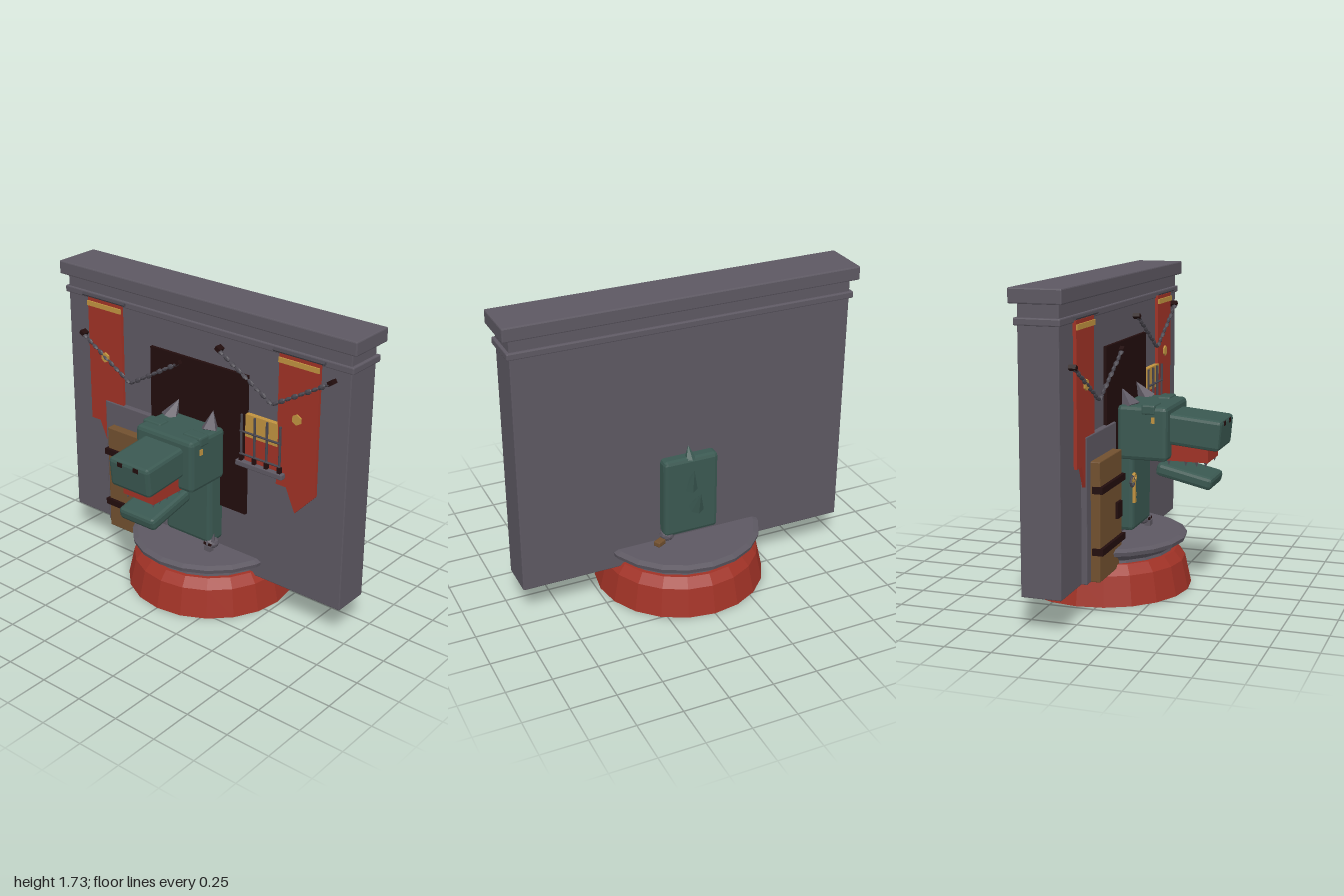
import * as THREE from 'three';
import { RoundedBoxGeometry } from 'three/addons/geometries/RoundedBoxGeometry.js';

const mat = (name, color) => {
  const m = new THREE.MeshStandardMaterial({ color, flatShading: true });
  m.name = name;
  return m;
};

export function createModel() {
  const stone = mat('stone', 0x5d5862);
  const iron = mat('iron', 0x49464e);
  const red = mat('red', 0xa03226);
  const teal = mat('teal', 0x3a5851);
  const wood = mat('wood', 0x71502f);
  const dark = mat('dark', 0x220d0d);
  const gold = mat('gold', 0xc0923f);

  const model = new THREE.Group();
  const add = (name, geo, material, x = 0, y = 0, z = 0, parent = model) => {
    const m = new THREE.Mesh(geo, material);
    m.name = name;
    m.position.set(x, y, z);
    parent.add(m);
    return m;
  };
  // Box given by its extents, with an optional chamfer
  const box = (name, material, [x0, x1], [y0, y1], [z0, z1], bevel = 0, parent = model) => {
    const s = [x1 - x0, y1 - y0, z1 - z0];
    const geo = bevel ? new RoundedBoxGeometry(...s, 1, bevel) : new THREE.BoxGeometry(...s);
    return add(name, geo, material, (x0 + x1) / 2, (y0 + y1) / 2, (z0 + z1) / 2, parent);
  };
  // Cone from base centre to tip
  const spike = (name, material, base, tip, r, sides = 6, parent = model) => {
    const a = new THREE.Vector3(...base), b = new THREE.Vector3(...tip);
    const d = b.clone().sub(a);
    const m = add(name, new THREE.ConeGeometry(r, d.length(), sides), material, 0, 0, 0, parent);
    m.position.copy(a).addScaledVector(d, 0.5);
    m.quaternion.setFromUnitVectors(new THREE.Vector3(0, 1, 0), d.normalize());
    return m;
  };
  const lathe = (pts) => new THREE.LatheGeometry(pts.map(p => new THREE.Vector2(...p)), 20);

  // Round pedestal: hollow red drum and stone plate
  add('pedestalDrum', lathe([[0.42, 0], [0.48, 0], [0.445, 0.16], [0.4, 0.21], [0.3, 0.21],
    [0.33, 0.12], [0.37, 0.08], [0.39, 0.04], [0.42, 0]]), red, 0, 0, -0.108);
  add('pedestalPlate', lathe([[0, 0.2], [0.38, 0.2], [0.375, 0.225], [0.4, 0.25], [0.45, 0.268],
    [0.455, 0.29], [0.425, 0.303], [0, 0.303]]), stone, 0, 0, -0.108);

  // Wall with trim and cornice
  box('wall', stone, [-0.96, 0.96], [0.19, 1.66], [-0.215, 0], 0.005);
  box('wallTrim', stone, [-0.977, 0.977], [1.547, 1.585], [-0.23, 0.012], 0.006);
  box('cornice', stone, [-1, 1], [1.653, 1.73], [-0.247, 0.03], 0.007);
  box('darkRecess', dark, [-0.335, 0.335], [0.56, 1.375], [0, 0.018]);

  // Door
  const door = new THREE.Group();
  door.name = 'door';
  model.add(door);
  box('doorFrame', stone, [-0.675, -0.22], [0.19, 0.96], [-0.02, 0.03], 0.005, door);
  box('doorPanel', wood, [-0.617, -0.275], [0.19, 0.825], [0.02, 0.08], 0.005, door);
  for (const y of [0.335, 0.66]) box('doorBand', dark, [-0.628, -0.27], [y, y + 0.036], [0.04, 0.098], 0, door);
  box('doorLock', dark, [-0.377, -0.31], [0.47, 0.558], [0.06, 0.095], 0, door);

  // Pointed banners with stripe, badge and rod
  const cloth = new THREE.Shape([[-0.125, 1.56], [-0.125, 0.82], [-0.06, 0.82], [0, 0.685], [0.125, 0.82], [0.125, 1.56]]
    .map(p => new THREE.Vector2(...p)));
  for (const x of [-0.667, 0.665]) {
    const banner = new THREE.Group();
    banner.name = 'banner';
    banner.position.x = x;
    model.add(banner);
    add('bannerCloth', new THREE.ExtrudeGeometry(cloth, { depth: 0.018, bevelEnabled: false }), red, 0, 0, 0.006, banner);
    box('bannerStripe', gold, [-0.125, 0.125], [1.512, 1.54], [0.023, 0.032], 0, banner);
    const badge = add('bannerBadge', new THREE.CylinderGeometry(0.03, 0.03, 0.012, 6), gold, 0, 1.227, 0.028, banner);
    badge.rotation.x = Math.PI / 2;
    const rod = add('bannerRod', new THREE.CylinderGeometry(0.01, 0.01, 0.315, 6), iron, 0, 1.573, 0.028, banner);
    rod.rotation.z = Math.PI / 2;
  }

  // Chains sagging in a V between dark hooks
  const chain = (xMid, yMid) => {
    const g = new THREE.Group();
    g.name = 'chain';
    model.add(g);
    const link = new THREE.OctahedronGeometry(0.03, 1);
    for (const side of [-1, 1]) {
      const angle = Math.atan2(0.215, side * 0.36);
      for (let i = 0; i < 9; i++) {
        const t = (i + 0.5) / 9;
        const m = add('chainLink', link, iron, xMid + side * 0.36 * t, yMid + 0.215 * t, 0.03, g);
        m.rotation.set(i % 2 ? 0 : Math.PI / 2, 0, angle, 'ZYX');
        m.scale.set(0.88, 0.5, 0.36);
      }
      const hook = box('chainHook', dark, [-0.016, 0.016], [-0.011, 0.011], [-0.02, 0.02], 0, g);
      hook.position.set(xMid + side * 0.355, yMid + 0.217, 0.022);
      hook.rotation.z = angle;
    }
  };
  chain(-0.48, 1.118);
  chain(0.507, 1.267);

  // Barred window
  const win = new THREE.Group();
  win.name = 'window';
  model.add(win);
  box('windowUpperPane', gold, [0.335, 0.545], [1.037, 1.165], [0, 0.028], 0, win);
  box('windowLowerPane', red, [0.335, 0.545], [0.895, 1.037], [0, 0.028], 0, win);
  box('windowSill', stone, [0.29, 0.597], [0.865, 0.897], [-0.01, 0.055], 0.005, win);
  for (const x of [0.318, 0.405, 0.485, 0.57]) {
    add('windowBar', new THREE.CylinderGeometry(0.007, 0.007, 0.265, 6), iron, x, 1.03, 0.038, win);
    box('barFoot', dark, [x - 0.01, x + 0.01], [0.895, 0.93], [0.028, 0.048], 0, win);
  }
  for (const y of [0.935, 1.067]) {
    const bar = add('windowCrossBar', new THREE.CylinderGeometry(0.006, 0.006, 0.265, 6), iron, 0.443, y, 0.04, win);
    bar.rotation.z = Math.PI / 2;
  }

  // Beast: body through the wall, head, snout and open jaw
  const beast = new THREE.Group();
  beast.name = 'beast';
  model.add(beast);
  box('body', teal, [-0.16, 0.16], [0.345, 0.81], [-0.28, 0.105], 0.022, beast);
  box('head', teal, [-0.197, 0.197], [0.75, 1.045], [0.025, 0.303], 0.022, beast);
  const snout = box('snout', teal, [-0.137, 0.137], [0.823, 0.99], [0.27, 0.578], 0.02, beast);
  snout.rotation.x = 0.09;
  box('mouth', red, [-0.105, 0.105], [0.742, 0.85], [0.27, 0.505], 0, beast);
  const jaw = box('lowerJaw', teal, [-0.123, 0.123], [0.625, 0.695], [0.217, 0.533], 0.02, beast);
  jaw.rotation.x = 0.22;
  for (const s of [-1, 1]) {
    box('brow', teal, [s * 0.14 - 0.062, s * 0.14 + 0.062], [1.0, 1.055], [0.162, 0.238], 0.01, beast);
    box('nostril', dark, [s * 0.055 - 0.017, s * 0.055 + 0.017], [0.943, 0.966], [0.56, 0.585], 0, beast);
    box('eye', gold, [s * 0.197 - 0.005, s * 0.197 + 0.005], [0.957, 0.99], [0.217, 0.237], 0, beast);
    spike('ear', stone, [s * 0.14, 1.03, 0.085], [s * 0.12, 1.125, 0.03], 0.055, 5, beast);
    for (const z of [0.285, 0.38, 0.44, 0.49]) spike('tooth', stone, [s * 0.09, 0.75, z], [s * 0.09, 0.713, z], 0.014, 5, beast);
  }
  spike('backSpineTop', teal, [0, 0.79, -0.255], [0, 0.865, -0.228], 0.035, 6, beast);
  spike('backSpineMiddle', teal, [0, 0.62, -0.26], [0, 0.75, -0.312], 0.04, 6, beast);
  spike('backSpineLow', teal, [0, 0.535, -0.335], [0, 0.65, -0.395], 0.042, 6, beast);

  // Hanging key beside the body
  const key = new THREE.Group();
  key.name = 'key';
  key.position.set(-0.17, 0, 0.115);
  model.add(key);
  add('keyHook', new THREE.TorusGeometry(0.028, 0.007, 5, 8), iron, -0.03, 0.635, 0, key);
  add('keyBow', new THREE.TorusGeometry(0.022, 0.008, 5, 8), gold, 0, 0.65, 0, key);
  box('keyShaft', gold, [-0.008, 0.008], [0.51, 0.63], [-0.008, 0.008], 0, key);
  for (const y of [0.51, 0.545]) box('keyTooth', gold, [0, 0.025], [y, y + 0.018], [-0.006, 0.006], 0, key);

  // Small horned skulls on the plate
  for (const [x, z] of [[0.145, 0.07], [0.13, -0.24]]) {
    const skull = new THREE.Group();
    skull.name = 'skull';
    skull.position.set(x, 0.303, z);
    model.add(skull);
    const cranium = add('cranium', new THREE.IcosahedronGeometry(0.042, 1), stone, 0, 0.04, 0, skull);
    cranium.scale.y = 0.85;
    box('skullJaw', stone, [-0.022, 0.022], [0, 0.03], [0.01, 0.042], 0, skull);
    for (const s of [-1, 1]) {
      spike('skullHorn', stone, [s * 0.02, 0.055, s * 0.015], [s * 0.03, 0.115, s * 0.015], 0.014, 5, skull);
      box('skullEye', dark, [s * 0.016 - 0.008, s * 0.016 + 0.008], [0.036, 0.05], [0.03, 0.04], 0, skull);
    }
  }
  const scrap = add('woodScrap', new RoundedBoxGeometry(0.06, 0.03, 0.04, 1, 0.006), wood, 0.185, 0.318, -0.265);
  scrap.rotation.y = 0.5;

  return model;
}
